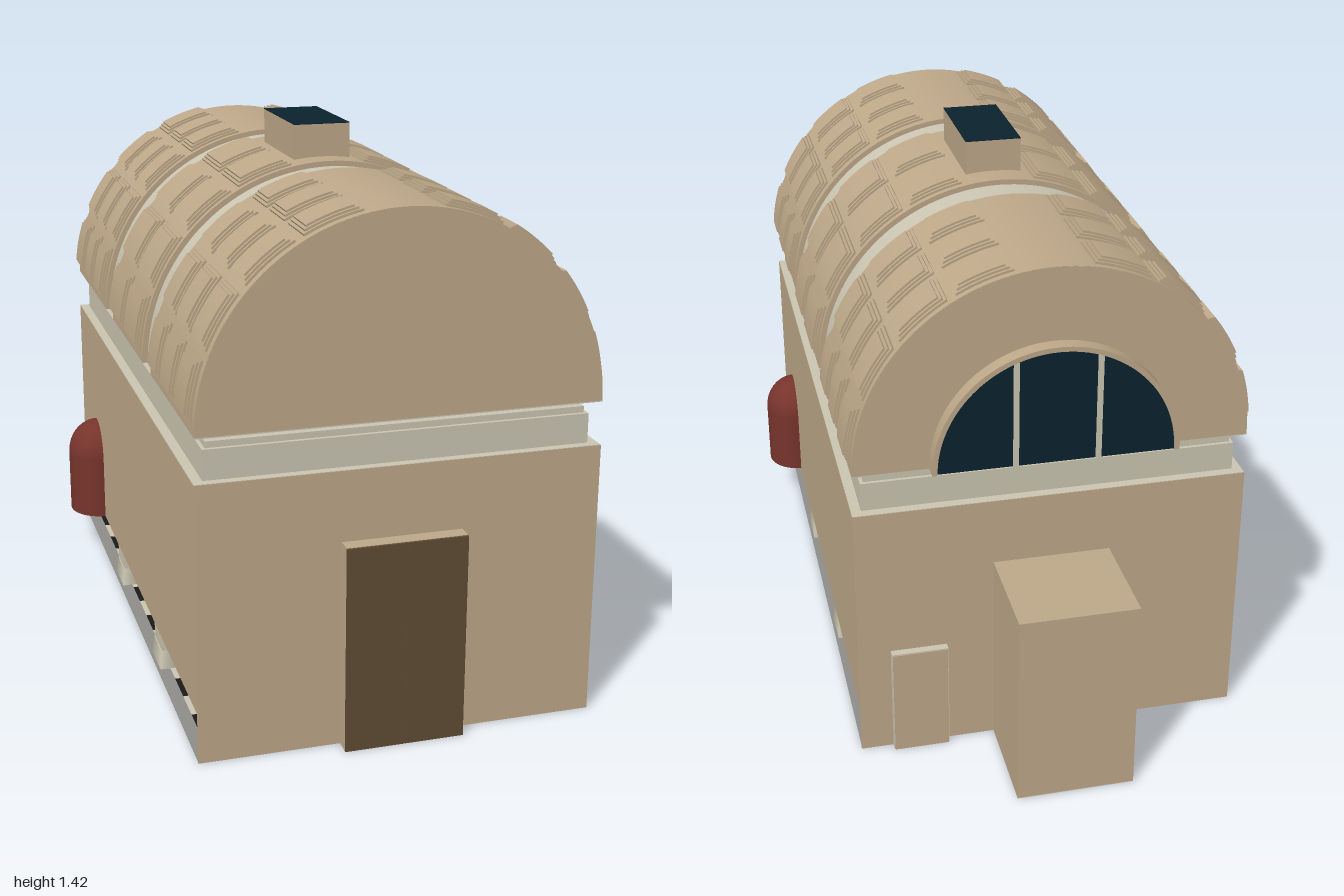
import * as THREE from 'three';
import { mergeGeometries } from 'three/addons/utils/BufferGeometryUtils.js';

const mat = (name, color, side = THREE.FrontSide) => {
  const m = new THREE.MeshStandardMaterial({ color, side });
  m.name = name;
  return m;
};

export function createModel() {
  const root = new THREE.Group();
  root.name = 'vaultedHall';
  const tan = mat('tan stone', 0xbea889);
  const cream = mat('cream stone', 0xcbc6b2);
  const red = mat('red niche', 0x76342c, THREE.DoubleSide);
  const wood = mat('dark wood', 0x604c35);
  const glass = mat('dark glass', 0x0b222d);
  const black = mat('black tile', 0x1a1a1a);
  const grey = mat('grey border', 0x8f8d8a);

  const X = 0.51, ZF = 0.955, ZB = -0.72, SPRING = 0.83, R = 0.507;
  const add = (name, geo, material, parent = root) => {
    const m = new THREE.Mesh(geo, material);
    m.name = name;
    parent.add(m);
    return m;
  };
  // Box given by its limits on each axis
  const boxGeo = (x0, x1, y0, y1, z0, z1) =>
    new THREE.BoxGeometry(x1 - x0, y1 - y0, z1 - z0)
      .translate((x0 + x1) / 2, (y0 + y1) / 2, (z0 + z1) / 2);
  const box = (name, material, ...b) => add(name, boxGeo(...b), material);

  // Curved block: ring sector around the vault axis, from z0 to z1
  const sector = (r0, r1, a0, a1, z0, z1, segs) => {
    const s = new THREE.Shape();
    s.absarc(0, 0, r1, a0, a1, false);
    if (r0 > 0) s.absarc(0, 0, r0, a1, a0, true);
    return new THREE.ExtrudeGeometry(s, { depth: z1 - z0, bevelEnabled: false, curveSegments: segs })
      .translate(0, SPRING, z0);
  };
  // Flat rectangular ring between heights y0 and y1
  const ring = (name, material, hx, zf, zb, y0, y1, inX, inF, inB) => {
    const rect = (P, x, f, b) => new P([[-x, -f], [x, -f], [x, -b], [-x, -b]].map(p => new THREE.Vector2(...p)));
    const s = rect(THREE.Shape, hx, zf, zb);
    s.holes.push(rect(THREE.Path, inX, inF, inB));
    const g = new THREE.ExtrudeGeometry(s, { depth: y1 - y0, bevelEnabled: false });
    return add(name, g.rotateX(-Math.PI / 2).translate(0, y0, 0), material);
  };

  // Chequered floor with a plain border
  const edge = 0.035, fx = X - edge;
  ring('floorBorder', grey, X - 0.001, ZF - 0.001, ZB + 0.001, 0, 0.002, fx, ZF - edge, ZB + edge);
  const tiles = [[], []], tw = 2 * fx / 10, td = (ZF - ZB - 2 * edge) / 16;
  for (let i = 0; i < 10; i++) {
    for (let j = 0; j < 16; j++) {
      const x = -fx + i * tw, z = ZB + edge + j * td;
      tiles[(i + j) % 2].push(boxGeo(x, x + tw, 0, 0.002, z, z + td));
    }
  }
  add('floorBlackTiles', mergeGeometries(tiles[0]), black);
  add('floorLightTiles', mergeGeometries(tiles[1]), cream);

  // Thin walls; the side walls stop short of the floor
  for (const s of [-1, 1]) {
    const a = s * X, b = s * (X - 0.006);
    box('sideWall', tan, Math.min(a, b), Math.max(a, b), 0.13, 0.715, ZB, ZF);
  }
  box('frontWall', tan, -X, X, 0, 0.715, ZF - 0.006, ZF);
  box('backWall', tan, -X, X, 0, 0.715, ZB, ZB + 0.006);

  // Stepped cornice below the vault
  ring('wallLedge', cream, X - 0.001, ZF - 0.001, ZB + 0.001, 0.705, 0.716, 0.437, 0.88, -0.645);
  ring('corniceBand', cream, 0.484, 0.932, -0.694, 0.715, 0.792, 0.437, 0.88, -0.645);
  ring('corniceLip', cream, 0.475, 0.922, -0.685, 0.792, 0.808, 0.437, 0.88, -0.645);
  ring('corniceNeck', cream, 0.442, 0.888, -0.652, 0.808, 0.83, 0.437, 0.88, -0.645);
  ring('vaultSoffit', cream, R, ZF, ZB, 0.827, 0.83, 0.437, 0.88, -0.645);

  // Inner pilasters with flared feet
  for (const x of [-0.465, 0.465]) {
    for (const z of [0.4, -0.16]) {
      const p = new THREE.Group();
      p.name = 'pilaster';
      add('pilasterShaft', boxGeo(-0.03, 0.03, 0.03, 0.71, -0.049, 0.049), cream, p);
      const foot = new THREE.CylinderGeometry(0.07, 0.08, 0.05, 4, 1).rotateY(Math.PI / 4);
      add('pilasterFoot', foot.scale(0.65, 1, 1).translate(0, 0.027, 0), cream, p);
      p.position.set(x, 0, z);
      root.add(p);
    }
  }
  // Slim barrier posts inside the entrance
  for (const x of [-0.2, 0.2]) {
    add('barrierPost', new THREE.CylinderGeometry(0.004, 0.004, 0.16, 8).translate(x, 0.08, 0.79), grey);
    add('barrierFoot', new THREE.CylinderGeometry(0.016, 0.018, 0.006, 12).translate(x, 0.005, 0.79), grey);
  }

  // Barrel vault: three bands of stepped coffers and two recessed ribs
  const bands = [
    { z: [0.445, ZF], cells: [[0.797, 0.932], [0.632, 0.767], [0.472, 0.604]] },
    { z: [-0.11, 0.342], cells: [[0.138, 0.326], [-0.092, 0.107]] },
    { z: [ZB, -0.22], cells: [[-0.373, -0.238], [-0.535, -0.405], [-0.702, -0.568]] },
  ];
  const deg = Math.PI / 180, coffers = [];
  for (const { z, cells } of bands) {
    add('vaultBand', sector(R - 0.02, R, 0, Math.PI, z[0], z[1], 36), tan);
    for (const [z0, z1] of cells) {
      for (let k = 0; k < 4; k++) {
        for (const mirror of [false, true]) {
          const a = (3 + 19.6 * k) * deg, b = a + 17 * deg;
          const [a0, a1] = mirror ? [Math.PI - b, Math.PI - a] : [a, b];
          for (let step = 0; step < 3; step++) {
            const i = step * 0.008, t = i / R;
            coffers.push(sector(R - 0.01, 0.513 + step * 0.0055, a0 + t, a1 - t, z0 + i, z1 - i, 4));
          }
        }
      }
    }
  }
  add('coffers', mergeGeometries(coffers), tan);
  for (const [z0, z1] of [[0.342, 0.445], [-0.22, -0.11]]) {
    add('vaultRib', sector(0.475, 0.493, 0, Math.PI, z0, z1, 36), cream);
  }
  // Half-round end walls
  add('frontGable', sector(0, R - 0.001, 0, Math.PI, ZF - 0.008, ZF + 0.0005, 36), tan);
  add('backGable', sector(0, R - 0.001, 0, Math.PI, ZB - 0.0005, ZB + 0.008, 36), tan);

  // Half-round back window with three panes
  add('windowArch', sector(0.302, 0.315, 0, Math.PI, -0.76, ZB, 32), tan);
  add('windowGlass', sector(0, 0.303, 0, Math.PI, -0.754, -0.747, 32), glass);
  for (const x of [-0.105, 0.105]) box('windowMullion', cream, x - 0.007, x + 0.007, SPRING, 1.113, -0.759, -0.747);

  // Roof light
  box('roofLightBox', tan, -0.076, 0.076, 1.28, 1.423, -0.035, 0.27);
  box('roofLightGlass', glass, -0.076, 0.076, 1.423, 1.425, -0.035, 0.27);

  // Front porch with double doors, and back annex, each on a pale floor plate
  box('frontPorch', tan, -0.153, 0.153, 0.002, 0.535, ZF, 0.994);
  box('porchFloor', cream, -0.153, 0.153, 0, 0.002, ZF, 0.994);
  box('rightDoor', wood, -0.153, -0.001, 0, 0.534, 0.994, 1);
  box('leftDoor', wood, 0.001, 0.153, 0, 0.534, 0.994, 1);
  box('backAnnex', tan, -0.153, 0.153, 0.002, 0.535, -1, ZB);
  box('annexFloor', cream, -0.153, 0.153, 0, 0.002, -1, ZB);

  // Small side door in the back wall
  box('backDoorFrame', cream, 0.277, 0.425, 0, 0.302, -0.74, ZB);
  box('backDoorPanel', tan, 0.279, 0.423, 0, 0.3, -0.743, -0.74);

  // Domed niches bulging through the side walls
  const profile = [new THREE.Vector2(0.1, 0)];
  for (let i = 0; i <= 10; i++) {
    const t = i / 10 * Math.PI / 2;
    profile.push(new THREE.Vector2(Math.max(0.1 * Math.cos(t), 0), 0.185 + 0.1 * Math.sin(t)));
  }
  for (const [s, z] of [[1, 0.678], [-1, -0.45]]) {
    const n = new THREE.Group();
    n.name = 'niche';
    add('nicheShell', new THREE.LatheGeometry(profile, 20, 0, Math.PI).scale(0.92, 1, 1), red, n);
    const base = new THREE.CylinderGeometry(0.098, 0.098, 0.004, 20, 1, false, 0, Math.PI);
    add('nicheFloor', base.scale(0.92, 1, 1).translate(0, 0.003, 0), cream, n);
    n.position.set(s * (X - 0.002), 0.13, z);
    n.rotation.y = s > 0 ? 0 : Math.PI;
    root.add(n);
  }
  return root;
}
